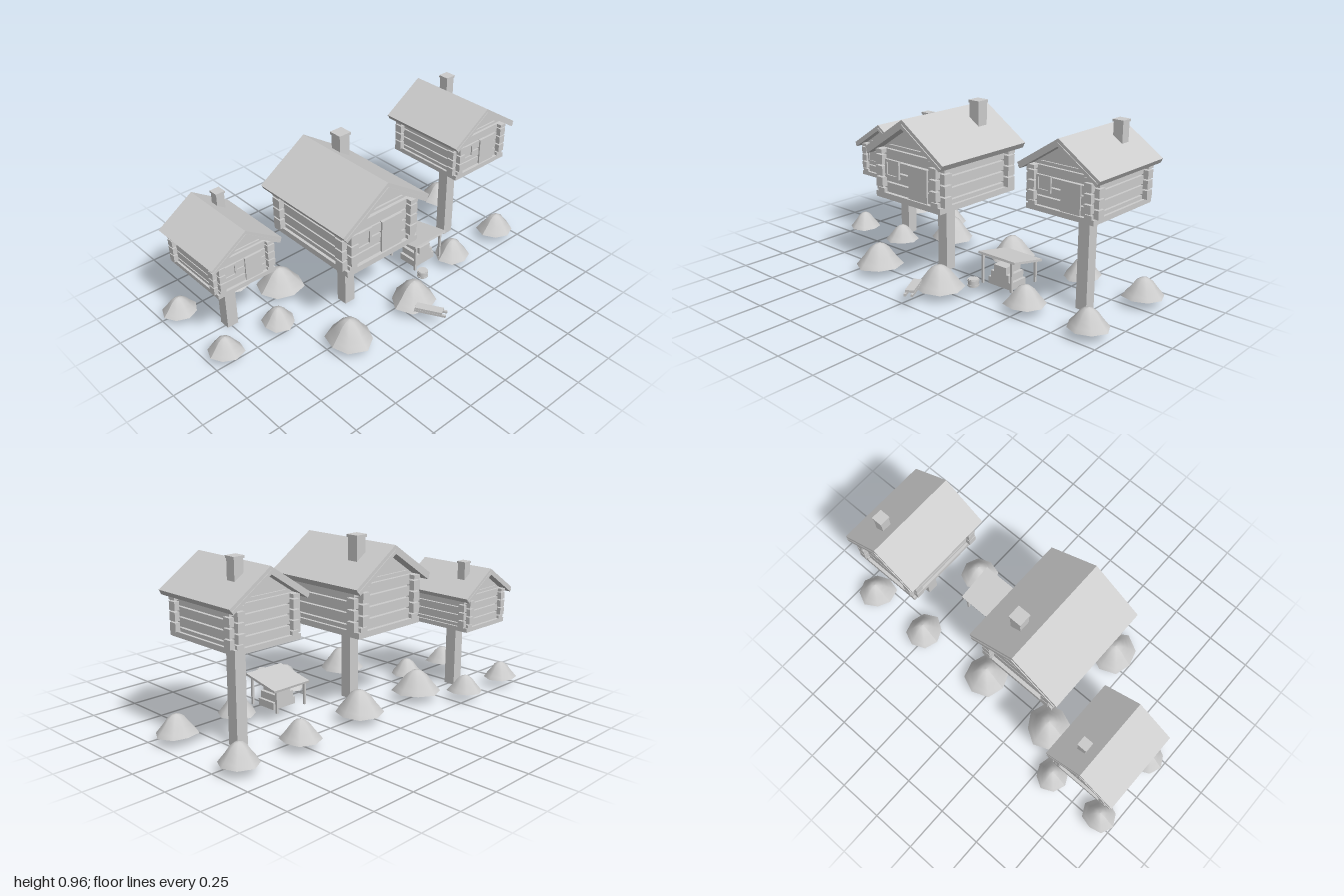
import * as THREE from 'three';

const stone = new THREE.MeshStandardMaterial({ color: 0xcccccc, side: THREE.DoubleSide });
stone.name = 'plain grey';

function add(parent, name, geometry, x = 0, y = 0, z = 0) {
  const mesh = new THREE.Mesh(geometry, stone);
  mesh.name = name;
  mesh.position.set(x, y, z);
  parent.add(mesh);
  return mesh;
}

const box = (parent, name, w, h, d, x, y, z) =>
  add(parent, name, new THREE.BoxGeometry(w, h, d), x, y, z);

// Extrudes a (z, y) outline along x, centred on x = 0
function extrudeX(points, width) {
  const shape = new THREE.Shape(points.map(([z, y]) => new THREE.Vector2(-z, y)));
  const geo = new THREE.ExtrudeGeometry(shape, { depth: width, bevelEnabled: false });
  return geo.translate(0, 0, -width / 2).rotateY(Math.PI / 2);
}

// One chevron layer of the roof, square-cut at the eaves
const SLOPE = Math.atan(0.658);
function roofLayer(apexY, eaveZ, eaveY, thick, width) {
  const dz = thick * Math.sin(SLOPE), dy = thick * Math.cos(SLOPE);
  const drop = thick / Math.cos(SLOPE);
  return extrudeX([
    [0, apexY], [eaveZ, eaveY], [eaveZ - dz, eaveY - dy],
    [0, apexY - drop],
    [-eaveZ + dz, eaveY - dy], [-eaveZ, eaveY],
  ], width);
}

// Log cabin, origin at the middle of the floor's underside, door on +x
function makeCabin() {
  const g = new THREE.Group();
  g.name = 'cabin';
  box(g, 'floor', 0.576, 0.032, 0.472, 0, 0.016, 0);
  box(g, 'wallCore', 0.49, 0.24, 0.4, 0, 0.15, 0);

  // Interlocking logs: the two directions are offset by half a log
  for (const side of [-1, 1]) {
    for (let i = 0; i < 4; i++)
      box(g, 'sideLog', 0.052, 0.052, 0.504, side * 0.242, 0.059 + i * 0.061, 0);
    for (let i = 0; i < 3; i++)
      box(g, 'longLog', 0.6, 0.052, 0.048, 0, 0.0895 + i * 0.061, side * 0.196);
    box(g, 'bottomHalfLog', 0.576, 0.022, 0.048, 0, 0.043, side * 0.196);
    box(g, 'topHalfLog', 0.6, 0.022, 0.048, 0, 0.257, side * 0.196);
    box(g, 'gableBeam', 0.014, 0.014, 0.31, side * 0.254, 0.285, 0);
  }
  add(g, 'gable', extrudeX([[0.22, 0.265], [0, 0.412], [-0.22, 0.265]], 0.5));

  // Two-layer roof
  const t = 0.019;
  add(g, 'roofTop', roofLayer(0.455, 0.284, 0.268, t, 0.63));
  add(g, 'roofUnder', roofLayer(0.455 - t / Math.cos(SLOPE),
    0.284 - t * Math.sin(SLOPE), 0.268 - t * Math.cos(SLOPE), t, 0.64));

  // Chimney
  box(g, 'chimney', 0.064, 0.17, 0.064, -0.142, 0.405, -0.102);
  box(g, 'chimneyCap', 0.074, 0.015, 0.074, -0.142, 0.495, -0.102);

  // Door and framed window
  box(g, 'door', 0.02, 0.178, 0.134, 0.268, 0.121, -0.067);
  box(g, 'windowPane', 0.012, 0.08, 0.085, 0.266, 0.166, 0.121);
  for (const s of [-1, 1]) {
    box(g, 'windowFrameSide', 0.02, 0.097, 0.014, 0.27, 0.166, 0.121 + s * 0.044);
    box(g, 'windowFrameRail', 0.02, 0.014, 0.102, 0.27, 0.166 + s * 0.042, 0.121);
  }
  return g;
}

// Smooth, slightly irregular mound, open underneath
function makeMound(parent, x, z, r, h, seed) {
  const profile = [[1, 0], [0.85, 0.19], [0.64, 0.46], [0.42, 0.78], [0.2, 0.95], [0, 1]]
    .map(([a, b]) => new THREE.Vector2(a * r, b * h));
  const geo = new THREE.LatheGeometry(profile, 8);
  const p = geo.attributes.position;
  for (let i = 0; i < p.count; i++) {
    const a = Math.atan2(p.getX(i), p.getZ(i));
    const k = 1 + 0.06 * Math.sin(2 * a + seed) + 0.04 * Math.sin(3 * a + seed * 2);
    p.setX(i, p.getX(i) * k);
    p.setZ(i, p.getZ(i) * k);
  }
  geo.computeVertexNormals();
  add(parent, 'mound', geo, x, 0.047, z);
}

// Cabin on a hollow square pole with a mound near each corner
function makeHouse(x, floorY, z, s, seed) {
  const g = new THREE.Group();
  g.name = 'stiltHouse';
  const cabin = makeCabin();
  cabin.scale.setScalar(s);
  cabin.position.y = floorY;
  g.add(cabin);
  const r = 0.032 * Math.SQRT2;
  const pole = new THREE.CylinderGeometry(r, r, floorY, 4, 1, true).toNonIndexed();
  pole.rotateY(Math.PI / 4).computeVertexNormals();
  add(g, 'pole', pole, 0, floorY / 2, 0);
  for (const sx of [-1, 1])
    for (const sz of [-1, 1])
      makeMound(g, sx * 0.287 * s, sz * 0.228 * s, 0.126 * s, 0.12 * s, seed + sx + sz * 2.3);
  g.position.set(x, 0, z);
  return g;
}

// Lean-to stall with stepped shelves
function makeStall() {
  const g = new THREE.Group();
  g.name = 'stall';
  const roof = box(g, 'stallRoof', 0.222, 0.012, 0.238, 0.053, 0.214, -0.331);
  roof.rotation.z = Math.atan2(0.044, 0.218);
  for (const z of [-0.231, -0.421]) {
    box(g, 'backPost', 0.012, 0.122, 0.012, -0.04, 0.131, z);
    box(g, 'frontPost', 0.012, 0.16, 0.012, 0.147, 0.15, z);
  }
  [[0.15, 0.085], [0.118, 0.122], [0.08, 0.16]].forEach(([d, y]) =>
    box(g, 'shelf', 0.115, 0.038, d, 0.068, y, -0.325));
  return g;
}

// Small sled: two runners under a shorter deck
function makeSled() {
  const g = new THREE.Group();
  g.name = 'sled';
  for (const s of [-1, 1]) box(g, 'runner', 0.17, 0.013, 0.012, 0, 0.0765, s * 0.018);
  box(g, 'deck', 0.145, 0.013, 0.046, -0.008, 0.0895, 0);
  g.position.set(0.455, 0, -0.038);
  g.rotation.y = 0.51;
  return g;
}

export function createModel() {
  const model = new THREE.Group();
  model.name = 'stiltVillage';
  model.add(
    makeHouse(-0.257, 0.375, 0.742, 0.727, 0.4),
    makeHouse(0.01, 0.434, 0.16, 1, 1.7),
    makeHouse(-0.08, 0.541, -0.706, 0.825, 3.1),
    makeStall(),
    makeSled(),
  );

  // Barrel with a rim band
  const barrel = new THREE.Group();
  barrel.name = 'barrel';
  add(barrel, 'barrelBody', new THREE.CylinderGeometry(0.028, 0.028, 0.04, 12), 0, 0, 0);
  for (const y of [-0.013, 0.013])
    add(barrel, 'barrelBand', new THREE.CylinderGeometry(0.031, 0.031, 0.007, 12), 0, y, 0);
  barrel.position.set(0.212, 0.09, -0.224);
  model.add(barrel);
  return model;
}
